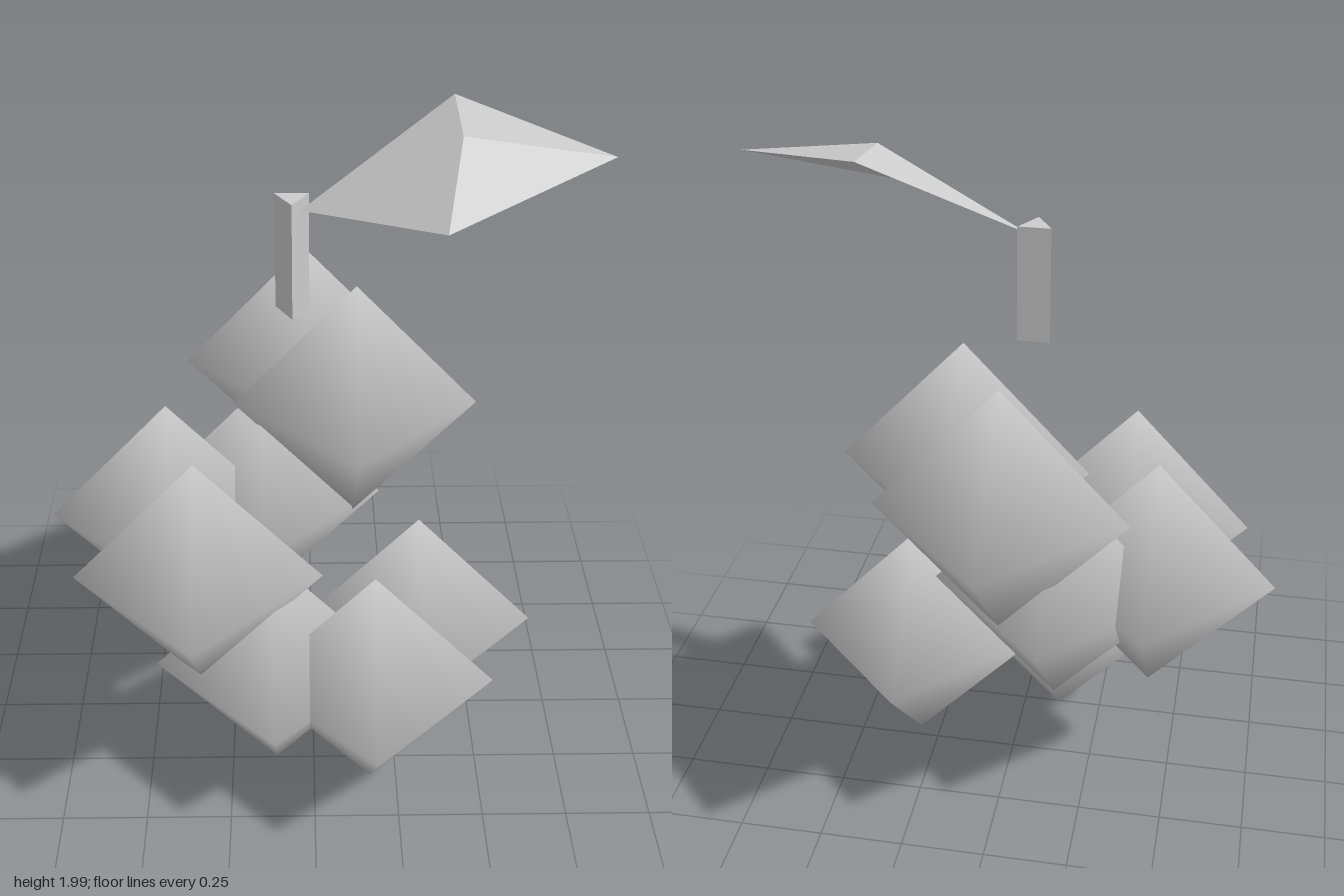
import * as THREE from 'three';

export function createModel() {
  const model = new THREE.Group();
  model.name = 'berryCluster';

  const grey = new THREE.MeshStandardMaterial({ color: 0xcccccc, side: THREE.DoubleSide });
  grey.name = 'light grey';

  // Berries: smooth-shaded octahedra in three layers
  const berryGeometry = new THREE.SphereGeometry(1, 4, 2);
  const berries = new THREE.Group();
  berries.name = 'berries';
  const layers = [
    { y: 0.384, spots: [[0.315, 0.042], [0.172, 0.33], [-0.114, 0.243]] },
    { y: 0.742, spots: [[-0.426, -0.028], [-0.331, 0.285], [-0.15, -0.142]] },
    { y: 1.099, spots: [[0.123, -0.075], [-0.023, -0.333]] },
  ];
  for (const { y, spots } of layers) {
    for (const [x, z] of spots) {
      const berry = new THREE.Mesh(berryGeometry, grey);
      berry.name = 'berry';
      berry.scale.set(0.355, 0.378, 0.352);
      berry.position.set(x, y, z);
      berries.add(berry);
    }
  }
  model.add(berries);

  // Stem: three-sided prism with crisp edges
  const stemGeometry = new THREE.CylinderGeometry(0.053, 0.053, 0.333, 3).toNonIndexed();
  stemGeometry.computeVertexNormals();
  const stem = new THREE.Mesh(stemGeometry, grey);
  stem.name = 'stem';
  stem.position.set(-0.057, 1.624, 0.032);
  model.add(stem);

  // Leaf: four facets fanned around a raised centre
  const centre = [0.38, 1.972, 0.077];
  const rim = [
    [-0.035, 1.757, 0.043], // base
    [0.333, 1.793, 0.281], // front corner
    [0.773, 1.923, 0.097], // tip
    [0.378, 2.0, -0.16], // back corner
  ];
  const points = rim.flatMap((p, i) => [...centre, ...p, ...rim[(i + 1) % 4]]);
  const leafGeometry = new THREE.BufferGeometry();
  leafGeometry.setAttribute('position', new THREE.Float32BufferAttribute(points, 3));
  leafGeometry.computeVertexNormals();
  const leaf = new THREE.Mesh(leafGeometry, grey);
  leaf.name = 'leaf';
  model.add(leaf);

  return model;
}
